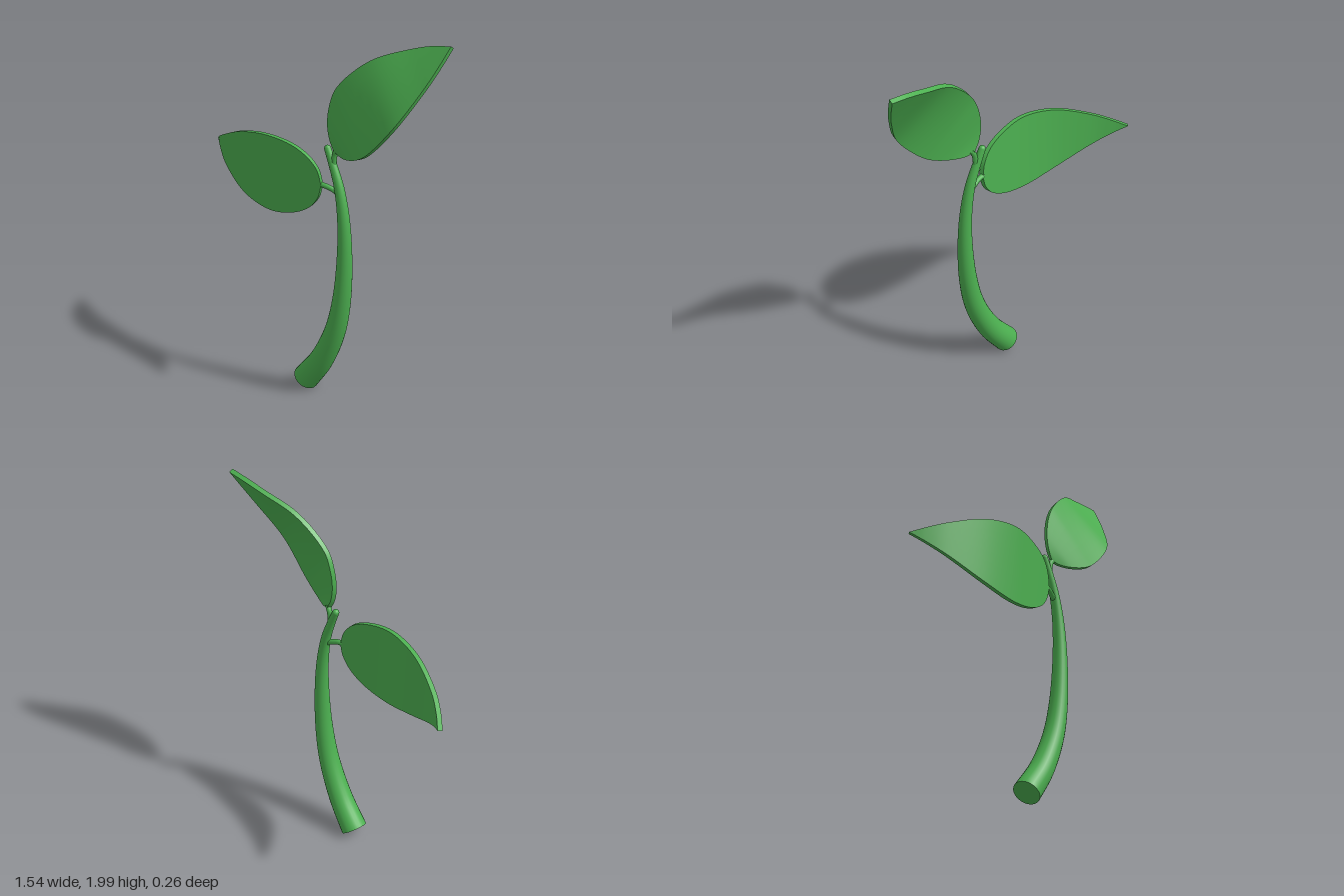
import * as THREE from 'three';
import { mergeGeometries } from 'three/addons/utils/BufferGeometryUtils.js';

const green = new THREE.MeshStandardMaterial({ color: 0x4caf50 });
green.name = 'leaf green';

const curve = (pts) => new THREE.CatmullRomCurve3(pts.map((p) => new THREE.Vector3(...p)));

// Grid surface from fn(u, v); it faces along du x dv
function surface(fn, nu, nv) {
  const pos = [], index = [];
  for (let i = 0; i <= nu; i++) {
    for (let j = 0; j <= nv; j++) {
      pos.push(...fn(i / nu, j / nv).toArray());
      if (i < nu && j < nv) {
        const a = i * (nv + 1) + j, b = a + nv + 1;
        index.push(a, b, b + 1, a, b + 1, a + 1);
      }
    }
  }
  const g = new THREE.BufferGeometry();
  g.setAttribute('position', new THREE.Float32BufferAttribute(pos, 3));
  g.setIndex(index);
  g.computeVertexNormals();
  return g;
}

function addMesh(group, name, geometry) {
  const mesh = new THREE.Mesh(geometry, green);
  mesh.name = name;
  group.add(mesh);
  return mesh;
}

// Thick curved blade stretched between two edge curves
function bladeGeometry(edgeA, edgeB, thickness = 0.024) {
  const A = curve(edgeA), B = curve(edgeB), N = 48;
  const mid = (t) => A.getPoint(t).lerp(B.getPoint(t), 0.5);
  const point = (u, v, side) => {
    const t = THREE.MathUtils.clamp(u, 0.04, 0.96);
    const along = mid(t + 0.03).sub(mid(t - 0.03));
    const across = B.getPoint(t).sub(A.getPoint(t));
    const normal = along.cross(across).normalize();
    return A.getPoint(u).lerp(B.getPoint(u), v).addScaledVector(normal, side * thickness / 2);
  };
  return mergeGeometries([
    surface((u, v) => point(u, v, 1), N, 6),
    surface((u, v) => point(u, 1 - v, -1), N, 6),
    surface((u, v) => point(u, 0, 2 * v - 1), N, 1),
    surface((u, v) => point(u, 1, 1 - 2 * v), N, 1),
  ]);
}

export function createModel() {
  const group = new THREE.Group();
  group.name = 'sprout';
  const Z = 0.035;

  // Curved stem, tapering upwards, with a flat foot and a round tip
  const path = curve([
    [-0.017, 0.052, Z], [0.095, 0.2, Z], [0.19, 0.4, Z], [0.235, 0.6, Z], [0.251, 0.85, Z],
    [0.24, 1.05, Z], [0.21, 1.2, Z], [0.172, 1.3, Z], [0.132, 1.388, Z],
  ]);
  const ring = (u, v, r) => {
    const t = path.getTangentAt(u), a = v * Math.PI * 2;
    const radial = new THREE.Vector3(t.y * Math.cos(a), -t.x * Math.cos(a), Math.sin(a));
    return path.getPointAt(u).addScaledVector(radial, r);
  };
  addMesh(group, 'stem', mergeGeometries([
    surface((u, v) => ring(u, v, THREE.MathUtils.lerp(0.071, 0.018, u)), 48, 24),
    surface((u, v) => ring(0, v, 0.071 * u), 1, 24),
  ]));
  addMesh(group, 'stemTip', new THREE.SphereGeometry(0.018, 16, 12)).position.set(0.132, 1.388, Z);

  // Right leaf: upper edge, then lower edge
  addMesh(group, 'rightLeaf', bladeGeometry(
    [[0.12, 1.2, 0.062], [0.1, 1.275, 0.07], [0.05, 1.335, 0.084], [-0.05, 1.383, 0.1], [-0.2, 1.404, 0.118],
      [-0.4, 1.372, 0.1], [-0.6, 1.294, 0.034], [-0.7, 1.245, -0.024], [-0.765, 1.21, -0.075]],
    [[0.12, 1.2, 0.062], [0.1, 1.13, 0.064], [0.05, 1.066, 0.072], [-0.05, 1.014, 0.084], [-0.2, 0.99, 0.097],
      [-0.4, 1.028, 0.084], [-0.6, 1.117, 0.024], [-0.7, 1.172, -0.03], [-0.765, 1.21, -0.075]],
  ));

  // Left leaf: lower edge, then upper edge
  addMesh(group, 'leftLeaf', bladeGeometry(
    [[0.185, 1.39, 0.035], [0.235, 1.378, 0.05], [0.3, 1.38, 0.073], [0.38, 1.402, 0.092], [0.45, 1.443, 0.1],
      [0.6, 1.605, 0.087], [0.7, 1.8, -0.012], [0.74, 1.91, -0.075], [0.763, 1.99, -0.122]],
    [[0.185, 1.39, 0.035], [0.155, 1.45, 0.036], [0.142, 1.53, 0.036], [0.157, 1.63, 0.034], [0.2, 1.72, 0.03],
      [0.36, 1.866, -0.018], [0.55, 1.945, -0.085], [0.67, 1.978, -0.112], [0.763, 1.99, -0.122]],
  ));

  // Short stalks joining the leaves to the stem
  const stalks = {
    rightStalk: [[0.21, 1.165, Z], [0.175, 1.185, 0.045], [0.145, 1.195, 0.055], [0.108, 1.2, 0.062]],
    leftStalk: [[0.175, 1.3, Z], [0.176, 1.34, Z], [0.183, 1.375, Z], [0.2, 1.402, 0.038]],
  };
  for (const [name, pts] of Object.entries(stalks)) {
    addMesh(group, name, new THREE.TubeGeometry(curve(pts), 12, 0.014, 10));
  }
  return group;
}
